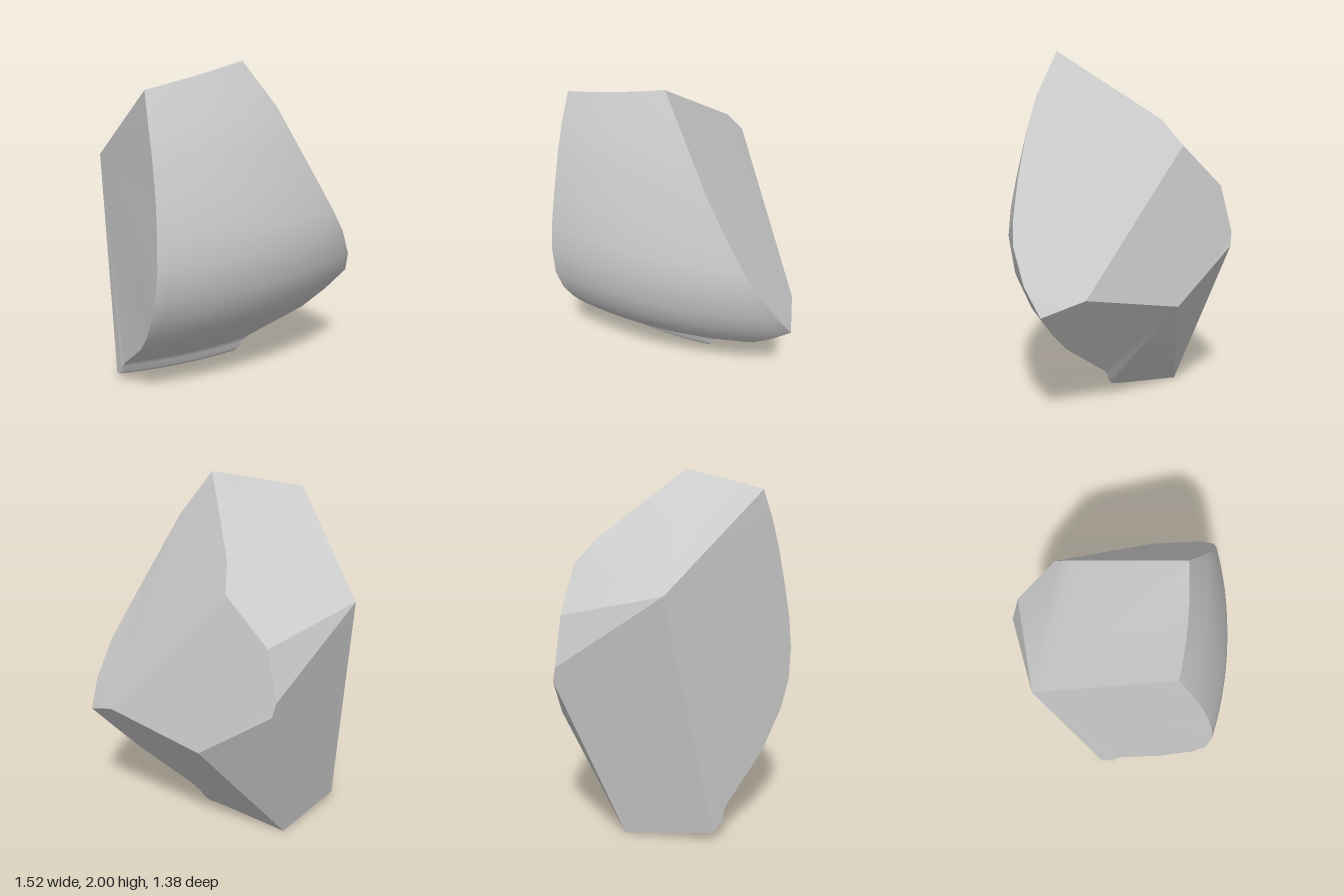
import * as THREE from 'three';

const V = (x, y, z) => new THREE.Vector3(x, y, z);
const CORE = V(0, 0.95, 0);
const material = new THREE.MeshStandardMaterial({ color: 0xcccccc });

function makeMesh(name, points, index) {
  const geometry = new THREE.BufferGeometry().setFromPoints(points);
  geometry.setIndex(index);
  geometry.computeVertexNormals();
  const mesh = new THREE.Mesh(geometry, material);
  mesh.name = name;
  return mesh;
}

// Fracture face: a fan around its first corner, wound to face away from the core
function fracture(name, corners) {
  const normal = V(0, 0, 0), middle = V(0, 0, 0);
  corners.forEach((p, i) => {
    middle.addScaledVector(p, 1 / corners.length);
    normal.add(p.clone().cross(corners[(i + 1) % corners.length]));
  });
  if (normal.dot(middle.sub(CORE)) < 0) corners = [...corners].reverse();
  // keep the named pivot first after reversing
  const pivot = corners[corners.length - 1];
  if (normal.dot(middle) < 0) corners = [pivot, ...corners.slice(0, -1)];
  const index = [];
  for (let i = 1; i < corners.length - 1; i++) index.push(0, i, i + 1);
  return makeMesh(name, corners, index);
}

// Curved wall: each row is an arc between a left and a right edge point
function curvedWall(left, right, segments) {
  const points = [], index = [];
  left.forEach((a, r) => {
    const b = right[r];
    const chord = b.clone().sub(a);
    const length = Math.hypot(chord.x, chord.z);
    const out = length > 0 ? V(-chord.z / length, 0, chord.x / length) : V(0, 0, 0);
    const sagitta = 0.058 * length * length;
    for (let i = 0; i <= segments; i++) {
      const t = i / segments;
      points.push(a.clone().lerp(b, t).addScaledVector(out, 4 * t * (1 - t) * sagitta));
    }
  });
  const w = segments + 1;
  for (let r = 0; r < left.length - 1; r++) {
    for (let i = 0; i < segments; i++) {
      const k = r * w + i;
      index.push(k, k + 1, k + w + 1, k, k + w + 1, k + w);
    }
  }
  return { mesh: makeMesh('curvedWall', points, index), topEdge: points.slice(-w) };
}

export function createModel() {
  const group = new THREE.Group();
  group.name = 'vesselFragment';

  // Edges of the curved wall, from the foot up to the top
  const left = [
    [-0.63, 0.05, 0.14], [-0.6, 0.07, 0.18], [-0.585, 0.1, 0.21], [-0.575, 0.14, 0.215],
    [-0.55, 0.18, 0.24], [-0.39, 0.4, 0.47], [-0.335, 0.51, 0.545], [-0.29, 0.64, 0.62],
    [-0.25, 0.8, 0.675], [-0.23, 0.98, 0.69], [-0.23, 1.16, 0.675], [-0.24, 1.35, 0.64],
    [-0.265, 1.57, 0.59], [-0.29, 1.72, 0.545], [-0.32, 1.89, 0.48],
  ].map((p) => V(...p));
  const right = [
    [-0.03, 0.05, -0.21], [0.06, 0.075, -0.215], [0.095, 0.11, -0.22], [0.11, 0.14, -0.23],
    [0.15, 0.18, -0.24], [0.49, 0.4, -0.26], [0.63, 0.52, -0.29], [0.75, 0.64, -0.33],
    [0.76, 0.79, -0.22], [0.72, 0.98, -0.1], [0.66, 1.12, -0.04], [0.57, 1.3, 0.02],
    [0.45, 1.53, 0.08], [0.33, 1.75, 0.115], [0.14, 2, 0.14],
  ].map((p) => V(...p));
  const CORNER = 7; // row of the wall's outermost right corner

  // Corners of the broken back
  const side = V(-0.76, 1.38, -0.15);
  const crestA = V(-0.12, 1.62, -0.42);
  const crestB = V(-0.15, 1.48, -0.55);
  const backTop = V(-0.4, 1.24, -0.64);
  const backA = V(-0.46, 0.97, -0.68);
  const backB = V(-0.44, 0.89, -0.69);
  const lowBack = V(-0.02, 0.6, -0.63);
  const farRight = V(0.56, 0.72, -0.47);
  const base = V(-0.43, 0, -0.31);

  // Outer wall, closing under the foot at the base point
  const wall = curvedWall([base, ...left], [base, ...right], 20);
  group.add(wall.mesh);

  // Flat broken faces
  group.add(
    fracture('sideBreak', [side, ...left]),
    fracture('topBreak', [side, ...wall.topEdge, crestA, crestB, backTop]),
    fracture('upperRightBreak', [farRight, ...right.slice(CORNER), crestA, crestB]),
    fracture('lowerRightBreak', [lowBack, base, ...right.slice(0, CORNER + 1), farRight]),
    fracture('backBreak', [lowBack, farRight, crestB, backTop, backA, backB]),
    fracture('chip', [side, backTop, backA]),
    fracture('backSideBreak', [side, backA, backB, base, left[0]]),
    fracture('lowerBackBreak', [lowBack, backB, base]),
  );
  return group;
}
